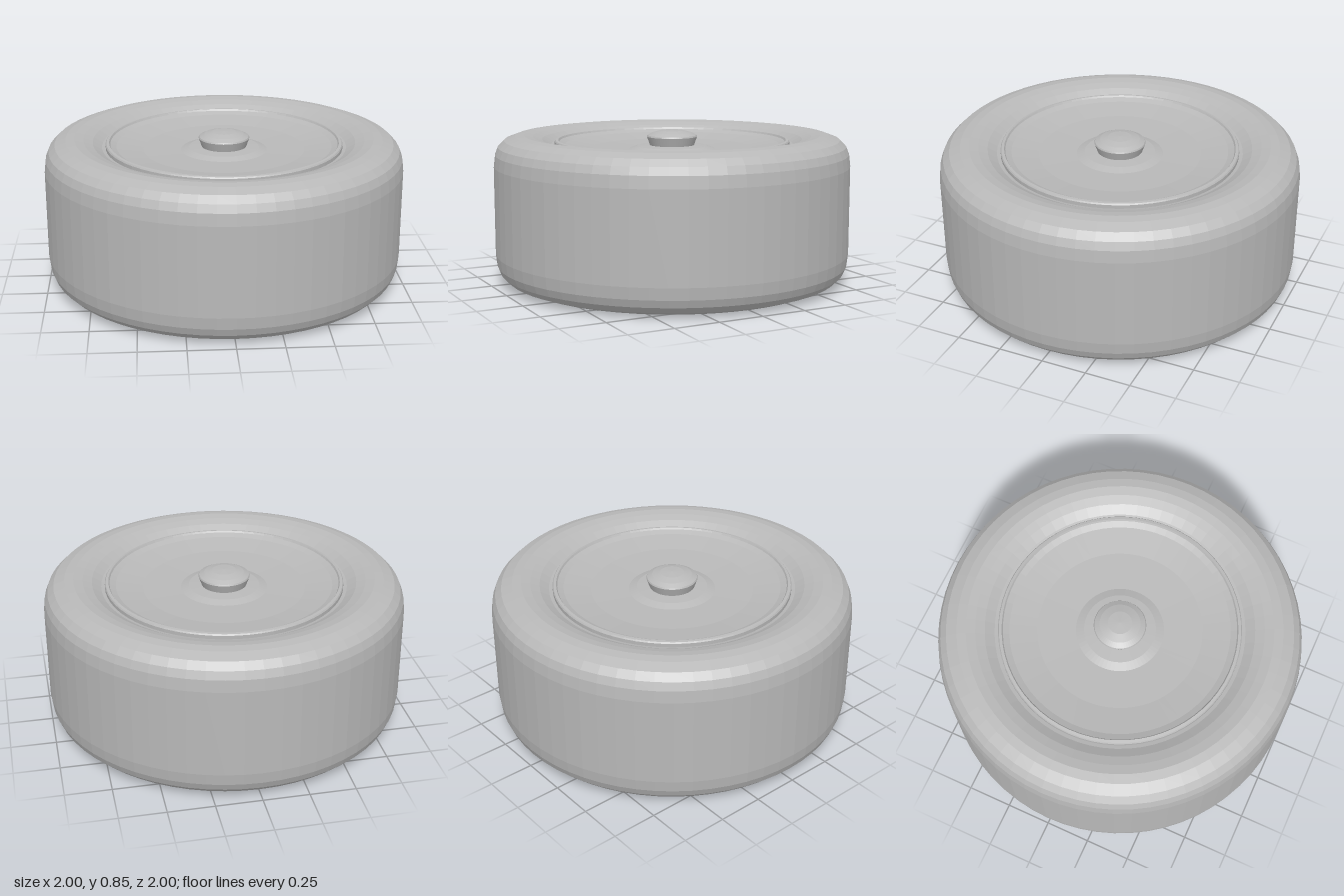
import * as THREE from 'three';

const SEGMENTS = 64;

// Revolve a profile of [radius, height] pairs, listed from the underside, outward, up and back in
function revolve(name, profile, material) {
  const points = profile.map(([r, y]) => new THREE.Vector2(r, y));
  const mesh = new THREE.Mesh(new THREE.LatheGeometry(points, SEGMENTS), material);
  mesh.name = name;
  return mesh;
}

export function createModel() {
  const group = new THREE.Group();
  group.name = 'wheel';
  const grey = new THREE.MeshStandardMaterial({ color: 0xb8b8b8, flatShading: true });
  grey.name = 'plainGrey';

  // Tyre: rounded shoulders, sidewalls dipping in to the rim, mirrored about mid height
  const height = 0.83;
  const lower = [
    [0.64, 0.065], [0.68, 0.055], [0.73, 0.025], [0.78, 0.009], [0.83, 0],
    [0.88, 0.006], [0.94, 0.028], [0.975, 0.063], [0.992, 0.105], [1, 0.17],
  ];
  const upper = lower.map(([r, y]) => [r, height - y]).reverse();
  group.add(revolve('tyre', [...lower, ...upper], grey));

  // Rim: recessed flat underside, protruding lips, shallow dished face on top
  group.add(revolve('rim', [
    [0, 0.085], [0.48, 0.085], [0.645, 0.015], [0.655, 0.012], [0.66, 0.02],
    [0.66, 0.79], [0.655, 0.797], [0.64, 0.799], [0.634, 0.789], [0.6, 0.775],
    [0.45, 0.752], [0.24, 0.745], [0.195, 0.76], [0.12, 0.765], [0, 0.765],
  ], grey));

  // Hub cap: flares upward to a low dome
  group.add(revolve('hubCap', [
    [0.12, 0.75], [0.142, 0.812], [0.138, 0.82], [0.11, 0.834], [0.065, 0.846], [0, 0.85],
  ], grey));

  return group;
}
